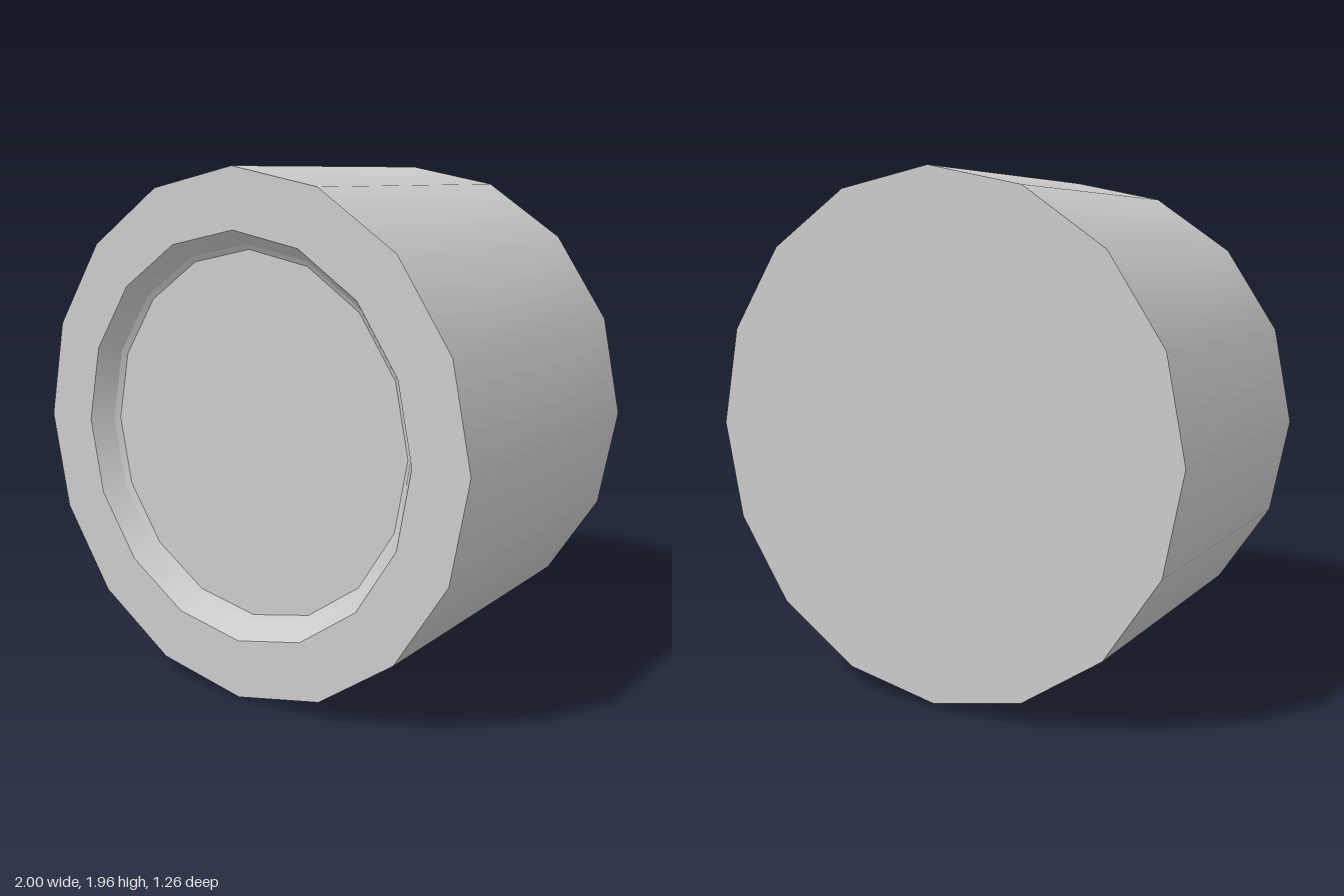
import * as THREE from 'three';

const SIDES = 16;
const HALF = 0.63; // half depth

// Slight lean of the axis: the front sits a little right of and below the back
const lean = new THREE.Matrix4().set(
  1, 0, 0.045, 0,
  0, 1, -0.016, 0.982,
  0, 0, 1, 0,
  0, 0, 0, 1);

export function createModel() {
  const group = new THREE.Group();
  const material = new THREE.MeshStandardMaterial({ color: 0xcccccc });

  // Turns a profile of [radius, z] points about the depth axis
  function turned(name, profile) {
    const points = profile.map(([r, z]) => new THREE.Vector2(r, z));
    const geometry = new THREE.LatheGeometry(points, SIDES);
    geometry.rotateX(Math.PI / 2);
    geometry.applyMatrix4(lean);
    const mesh = new THREE.Mesh(geometry, material);
    mesh.name = name;
    group.add(mesh);
  }

  // Outer drum
  turned('backFace', [[0, -HALF], [0.972, -HALF]]);
  turned('outerWall', [[0.972, -HALF], [0.972, HALF]]);
  turned('frontRim', [[0.972, HALF], [0.752, HALF]]);

  // Shallow tapered recess with a narrow step around the inner disc
  turned('recessWall', [[0.752, HALF], [0.7, 0.55]]);
  turned('recessStep', [[0.7, 0.55], [0.68, 0.535]]);
  turned('innerDisc', [[0.68, 0.535], [0, 0.535]]);

  return group;
}
